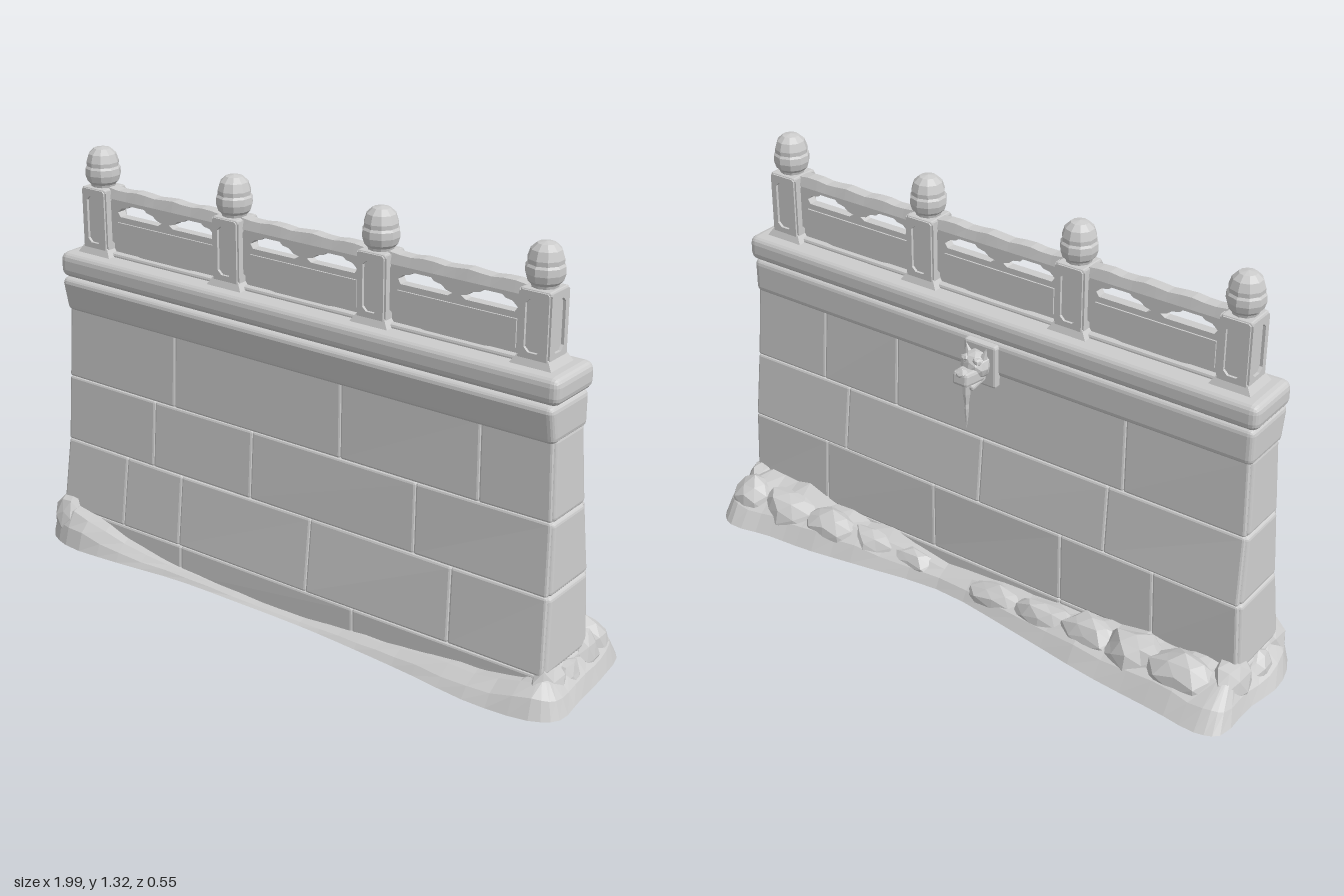
import * as THREE from 'three';
import { RoundedBoxGeometry } from 'three/addons/geometries/RoundedBoxGeometry.js';

const stone = new THREE.MeshStandardMaterial({ color: 0xcccccc, flatShading: true, side: THREE.DoubleSide });
stone.name = 'stone grey';

function add(parent, name, geo, x = 0, y = 0, z = 0) {
  const mesh = new THREE.Mesh(geo, stone);
  mesh.name = name;
  mesh.position.set(x, y, z);
  parent.add(mesh);
  return mesh;
}

// Move every vertex by a rule
function warp(geo, rule) {
  const p = geo.attributes.position, v = new THREE.Vector3();
  for (let i = 0; i < p.count; i++) {
    rule(v.fromBufferAttribute(p, i));
    p.setXYZ(i, v.x, v.y, v.z);
  }
  geo.computeVertexNormals();
  return geo;
}
const wobble = (x, y, z) => Math.sin(x * 13.1 + y * 7.3 + z * 5) * Math.cos(y * 17.7 - x * 5.9 + z * 11);

// Wall section by height: [y, front z, back z, half length]
const section = [[0, 0.17, -0.082, 0.922], [0.1, 0.168, -0.081, 0.92], [0.35, 0.142, -0.08, 0.908],
  [0.57, 0.13, -0.056, 0.9], [0.8, 0.122, -0.046, 0.89]];
function wallAt(y, k) {
  let i = 0;
  while (i < section.length - 2 && y > section[i + 1][0]) i++;
  const a = section[i], b = section[i + 1];
  return THREE.MathUtils.lerp(a[k], b[k], (y - a[0]) / (b[0] - a[0]));
}

// Courses of facing blocks: [bottom, top, joints on the front, joints on the back]
const courses = [
  [0, 0.1, [-0.4, 0.26], [-0.3, 0.35]],
  [0.1, 0.335, [-0.64, -0.41, 0.09, 0.59], [-0.62, -0.3, 0.17, 0.6]],
  [0.335, 0.555, [-0.53, -0.14, 0.46], [-0.45, 0, 0.52]],
  [0.555, 0.8, [-0.45, 0.19, 0.67], [-0.5, 0.33, 0.62]],
];
function buildWall(parent) {
  const depth = 0.03;
  for (const [y0, y1, front, back] of courses) {
    for (const side of [1, -1]) {
      // Facing blocks round a hollow core
      const xs = [-0.9, ...(side > 0 ? front : back), 0.9];
      for (let i = 0; i < xs.length - 1; i++) {
        const geo = new RoundedBoxGeometry(xs[i + 1] - xs[i], y1 - y0, depth, 1, 0.007);
        geo.translate((xs[i] + xs[i + 1]) / 2, (y0 + y1) / 2, -side * depth / 2);
        warp(geo, v => {
          v.z += wallAt(v.y, side > 0 ? 1 : 2) + 0.003 * wobble(v.x, v.y, side);
          v.x *= wallAt(v.y, 3) / 0.9;
        });
        add(parent, side > 0 ? 'frontBlock' : 'backBlock', geo);
      }
      // Rounded block closing the end of the course
      const end = new RoundedBoxGeometry(0.05, y1 - y0, 0.2, 2, 0.014).translate(side * 0.883, (y0 + y1) / 2, 0);
      warp(end, v => {
        v.z += v.z > 0 ? wallAt(v.y, 1) - 0.108 : wallAt(v.y, 2) + 0.108;
        v.x += side * (wallAt(v.y, 3) - 0.9);
      });
      add(parent, 'endBlock', end);
    }
  }
  // Two cornice bands, the lower one sloping in underneath on the front
  const lower = warp(new RoundedBoxGeometry(1.8, 0.115, 0.2, 2, 0.02), v => {
    if (v.z > 0 && v.y < 0) v.z -= 0.015;
  });
  add(parent, 'lowerCornice', lower, 0, 0.84, 0.047);
  add(parent, 'upperCornice', new RoundedBoxGeometry(1.82, 0.082, 0.204, 2, 0.026), 0, 0.937, 0.041);
}

const polygon = pts => new THREE.Shape(pts.map(p => new THREE.Vector2(...p)));
const slab = (shape, depth) => new THREE.ExtrudeGeometry(shape, { depth, bevelEnabled: false }).translate(0, 0, -depth / 2);
const octagon = (w, y0, y1, c) => [[-w + c, y0], [w - c, y0], [w, y0 + c], [w, y1 - c],
  [w - c, y1], [-w + c, y1], [-w, y1 - c], [-w, y0 + c]];

function buildPost(parent, x) {
  const post = new THREE.Group();
  post.name = 'post';
  post.position.set(x, 0, 0.042);
  parent.add(post);
  add(post, 'postCore', new RoundedBoxGeometry(0.084, 0.22, 0.084, 1, 0.008), 0, 1.08, 0);
  // Frame with a sunken panel on each face
  const frame = polygon(octagon(0.045, 0.97, 1.188, 0.006));
  frame.holes.push(polygon(octagon(0.027, 1.015, 1.165, 0.013)));
  for (let i = 0; i < 4; i++) {
    const face = add(post, 'postFrame', slab(frame, 0.012).translate(0, 0, 0.045));
    face.rotation.y = i * Math.PI / 2;
  }
  add(post, 'postCap', new RoundedBoxGeometry(0.094, 0.016, 0.094, 1, 0.005), 0, 1.184, 0);
  // Mortar flare round the foot
  add(post, 'postFoot', warp(new THREE.BoxGeometry(0.15, 0.04, 0.13), v => {
    if (v.y > 0) { v.x *= 0.65; v.z *= 0.75; }
  }), 0, 0.983, 0);
  // Bulb finial with a dome
  const profile = [[0.036, 1.185], [0.04, 1.2], [0.05, 1.21], [0.056, 1.23], [0.055, 1.25], [0.05, 1.257], [0.051, 1.27],
    [0.043, 1.295], [0.026, 1.311], [0, 1.316]].map(p => new THREE.Vector2(...p));
  add(post, 'finial', new THREE.LatheGeometry(profile, 10));
}

function buildBay(parent, x) {
  const bay = new THREE.Group();
  bay.name = 'railBay';
  bay.position.set(x, 0, 0.042);
  parent.add(bay);
  // Panel pierced by two scalloped openings
  const panel = polygon([[-0.225, 0.97], [0.225, 0.97], [0.225, 1.165], [-0.225, 1.165]]);
  const hole = [[0.014, 1.116], [0.035, 1.121], [0.05, 1.133], [0.075, 1.138], [0.085, 1.147], [0.145, 1.147],
    [0.155, 1.139], [0.178, 1.135], [0.195, 1.12], [0.186, 1.106], [0.03, 1.106]];
  for (const s of [1, -1]) panel.holes.push(polygon(hole.map(([a, b]) => [a * s, b])));
  add(bay, 'piercedPanel', slab(panel, 0.03));
  // Raised field with a bowed lower edge
  const field = new THREE.Shape();
  field.moveTo(-0.195, 1.088);
  field.lineTo(-0.195, 1.005);
  field.quadraticCurveTo(0, 0.965, 0.195, 1.005);
  field.lineTo(0.195, 1.088);
  add(bay, 'raisedField', slab(field, 0.04));
  // Worn top rail
  add(bay, 'topRail', warp(new THREE.BoxGeometry(0.45, 0.03, 0.054, 12, 1, 2), v => {
    if (v.y > 0) { v.y += 0.003 * Math.sin((v.x + x) * 47); v.z *= 0.7; }
  }), 0, 1.178, 0);
  add(bay, 'railLip', new THREE.BoxGeometry(0.45, 0.012, 0.044), 0, 1.158, 0);
  add(bay, 'sill', new RoundedBoxGeometry(0.45, 0.02, 0.07, 1, 0.008), 0, 0.98, 0);
}

function rock(parent, name, x, y, z, rx, ry, rz) {
  const geo = warp(new THREE.IcosahedronGeometry(1, 1), v => {
    v.multiplyScalar(1 + 0.13 * wobble(v.x * 0.3 + x * 3, v.y * 0.3, v.z * 0.3 + z * 5));
    v.set(v.x * rx, Math.max(v.y * ry, -y), v.z * rz);
  });
  return add(parent, name, geo, x, y, z);
}

// Ground skirt outline: [x, height against the wall, z]
const outline = [[-0.96, 0.12, -0.25], [-0.9, 0.13, -0.28], [-0.75, 0.13, -0.265], [-0.5, 0.11, -0.24],
  [-0.2, 0.085, -0.19], [0.1, 0.07, -0.15], [0.4, 0.1, -0.19], [0.6, 0.12, -0.22], [0.75, 0.13, -0.23],
  [0.89, 0.13, -0.25], [0.95, 0.12, -0.21], [0.975, 0.1, -0.08], [0.985, 0.1, 0.08], [0.99, 0.11, 0.2],
  [0.93, 0.12, 0.25], [0.75, 0.075, 0.27], [0.5, 0.05, 0.24], [0.3, 0.035, 0.22], [0.1, 0.015, 0.205],
  [-0.15, 0.015, 0.2], [-0.4, 0.03, 0.2], [-0.65, 0.065, 0.225], [-0.85, 0.13, 0.23], [-0.95, 0.13, 0.18],
  [-0.995, 0.1, 0.05], [-0.97, 0.1, -0.1]];
function buildGround(parent) {
  const curve = new THREE.CatmullRomCurve3(outline.map(p => new THREE.Vector3(...p)), true);
  const n = 72, rings = [[0, 0], [0.22, 0.45], [0.6, 0.78], [1, 1]], pos = [], index = [];
  rings.forEach(([t, h], r) => {
    for (let i = 0; i < n; i++) {
      const p = curve.getPoint(i / n);
      const x = THREE.MathUtils.lerp(p.x, THREE.MathUtils.clamp(p.x, -0.9, 0.9), t);
      const z = THREE.MathUtils.lerp(p.z, THREE.MathUtils.clamp(p.z, -0.07, 0.15), t);
      pos.push(x, p.y * h * (1 + 0.15 * wobble(x * 2, r, z * 2)), z);
      if (r < rings.length - 1) {
        const a = r * n + i, b = r * n + (i + 1) % n;
        index.push(a, a + n, b, b, a + n, b + n);
      }
    }
  });
  const geo = new THREE.BufferGeometry();
  geo.setAttribute('position', new THREE.Float32BufferAttribute(pos, 3));
  geo.setIndex(index);
  geo.computeVertexNormals();
  add(parent, 'groundSkirt', geo);
  // Rubble at both ends and along the back: x, y, z, radii
  for (const r of [
    [0.9, 0.04, 0.13, 0.055, 0.085, 0.08], [0.925, 0.03, 0.05, 0.04, 0.075, 0.06], [0.9, 0.06, -0.06, 0.055, 0.09, 0.06],
    [0.87, 0.05, -0.14, 0.08, 0.09, 0.07], [0.73, 0.04, -0.13, 0.12, 0.085, 0.075], [0.55, 0.04, -0.125, 0.11, 0.08, 0.065],
    [0.4, 0.03, -0.11, 0.1, 0.065, 0.055], [0.24, 0.02, -0.1, 0.1, 0.06, 0.045], [-0.1, 0.02, -0.11, 0.12, 0.06, 0.05],
    [-0.28, 0.03, -0.12, 0.12, 0.07, 0.055], [-0.45, 0.04, -0.13, 0.11, 0.08, 0.06], [-0.61, 0.05, -0.14, 0.11, 0.085, 0.07],
    [-0.78, 0.05, -0.15, 0.12, 0.1, 0.075], [-0.9, 0.05, -0.09, 0.055, 0.095, 0.09], [-0.925, 0.03, 0.03, 0.045, 0.08, 0.07],
    [-0.89, 0.05, 0.14, 0.06, 0.1, 0.07],
  ]) rock(parent, 'rubble', ...r);
}

// Beast-head water spout on the back
function buildSpout(parent) {
  const spout = new THREE.Group();
  spout.name = 'waterSpout';
  parent.add(spout);
  add(spout, 'backPlate', new RoundedBoxGeometry(0.115, 0.14, 0.03, 1, 0.008), 0, 0.82, -0.055);
  rock(spout, 'head', 0, 0.826, -0.09, 0.046, 0.046, 0.04);
  const snout = add(spout, 'snout', warp(new RoundedBoxGeometry(0.064, 0.044, 0.09, 1, 0.01), v => {
    if (v.z < 0) v.x *= 0.85;
  }), 0, 0.808, -0.125);
  snout.rotation.x = 0.1;
  rock(spout, 'nose', 0, 0.825, -0.155, 0.024, 0.015, 0.016);
  const jaw = add(spout, 'jaw', new RoundedBoxGeometry(0.046, 0.02, 0.07, 1, 0.007), 0, 0.776, -0.1);
  jaw.rotation.x = -0.15;
  for (const s of [1, -1]) {
    const ear = add(spout, 'ear', new THREE.ConeGeometry(0.016, 0.045, 5), s * 0.03, 0.868, -0.085);
    ear.rotation.z = -s * 0.3;
    rock(spout, 'brow', s * 0.02, 0.852, -0.108, 0.016, 0.012, 0.014);
  }
  // Hanging icicle
  const drip = [[0, 0.632], [0.004, 0.66], [0.008, 0.7], [0.007, 0.715], [0.012, 0.75], [0.014, 0.8]].map(p => new THREE.Vector2(...p));
  add(spout, 'icicle', new THREE.LatheGeometry(drip, 7), 0, 0, -0.135);
}

export function createModel() {
  const model = new THREE.Group();
  model.name = 'stoneParapetWall';
  const wall = new THREE.Group();
  wall.name = 'wall';
  wall.rotation.y = -0.017;
  model.add(wall);
  buildWall(wall);
  for (const x of [-0.797, -0.266, 0.266, 0.797]) buildPost(wall, x);
  for (const x of [-0.531, 0, 0.531]) buildBay(wall, x);
  buildSpout(wall);
  buildGround(model);
  return model;
}
